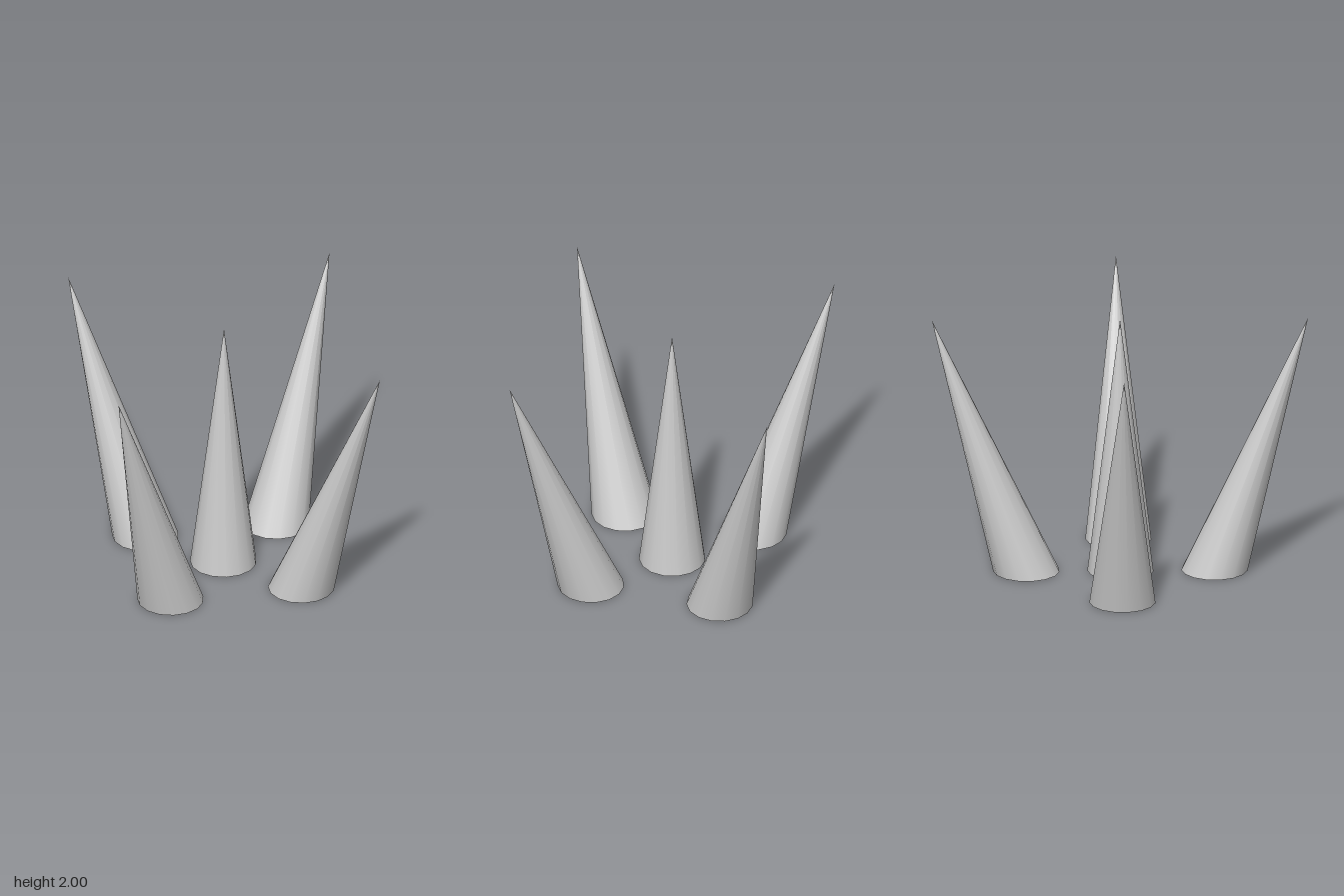
import * as THREE from 'three';

const HEIGHT = 2, RADIUS = 0.25, SIDES = 15;

// A cone standing on y = 0 with a level base, sheared so its tip sits over another point
function leaningSpike(name, baseX, baseZ, tipX, tipZ, material) {
  const geometry = new THREE.ConeGeometry(RADIUS, HEIGHT, SIDES, 1, false, Math.PI / 2);
  geometry.translate(0, HEIGHT / 2, 0);
  const leanX = (tipX - baseX) / HEIGHT;
  const leanZ = (tipZ - baseZ) / HEIGHT;
  geometry.applyMatrix4(new THREE.Matrix4().set(
    1, leanX, 0, baseX,
    0, 1, 0, 0,
    0, leanZ, 1, baseZ,
    0, 0, 0, 1
  ));
  const mesh = new THREE.Mesh(geometry, material);
  mesh.name = name;
  return mesh;
}

export function createModel() {
  const model = new THREE.Group();
  model.name = 'spikeCluster';
  const material = new THREE.MeshStandardMaterial({ color: 0xcccccc });
  const shift = -0.005; // the odd-sided bases sit slightly to one side

  // Upright spike in the middle
  model.add(leaningSpike('centreSpike', shift, 0, 0, 0, material));

  // Four spikes leaning outward to the corners
  for (const [sideName, sx] of [['Left', 1], ['Right', -1]]) {
    for (const [endName, sz] of [['front', 1], ['back', -1]]) {
      model.add(leaningSpike(endName + sideName + 'Spike',
        0.5 * sx + shift, 0.5 * sz, sx, sz, material));
    }
  }
  return model;
}
